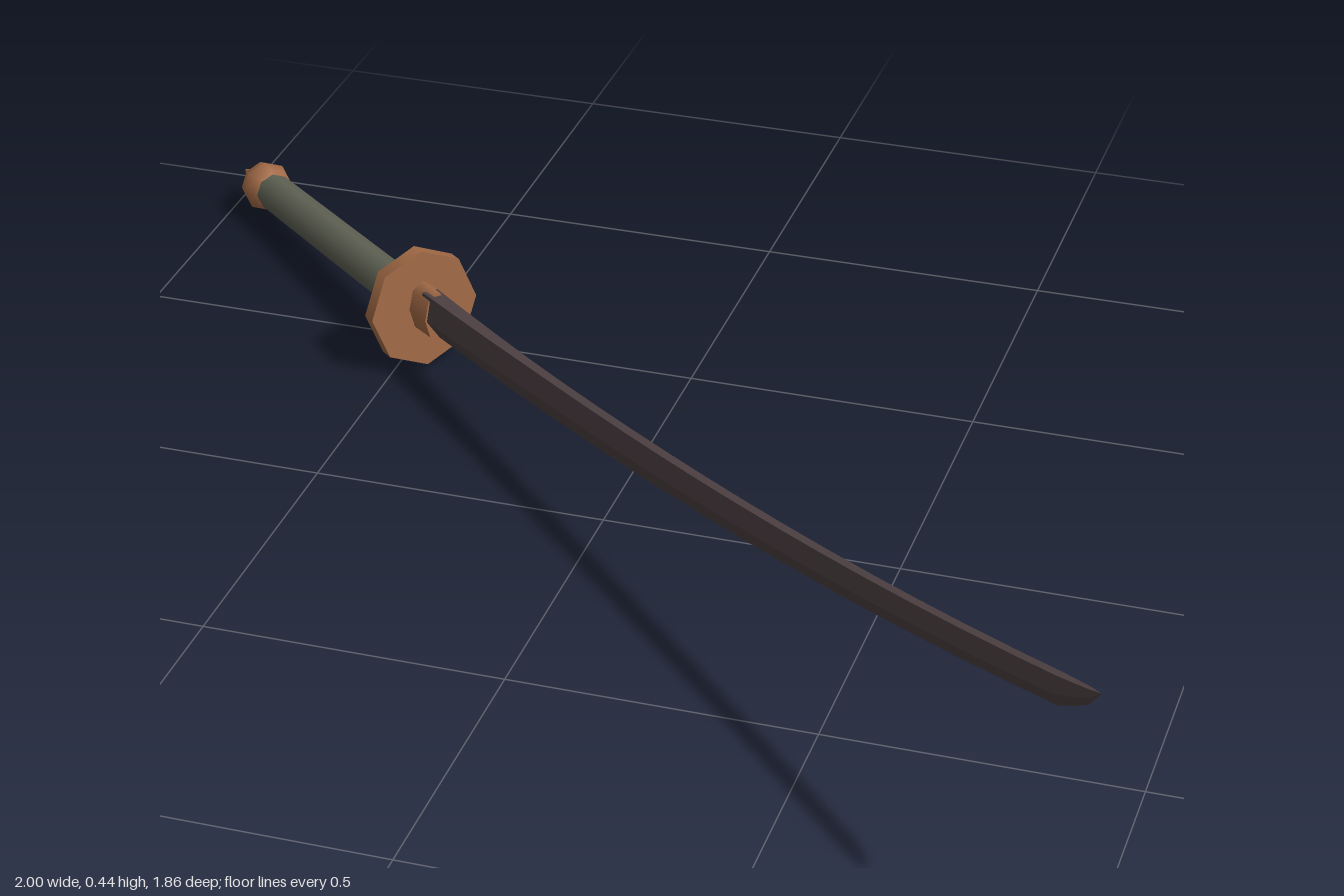
import * as THREE from 'three';

const mat = (name, color, flatShading) => {
  const m = new THREE.MeshStandardMaterial({ color, flatShading });
  m.name = name;
  return m;
};

// Curved blade: five-sided sections (flat spine, ridge, cutting edge) lofted to a point
function bladeGeometry(stretch) {
  const stations = [];
  for (let i = 0; i <= 16; i++) stations.push(-0.43 + (1.36 * i) / 16);
  stations.push(0.955, 0.98, 1);
  const rings = stations.map((x) => {
    const top = 0.213 + 0.155 * x + 0.063 * x * x + 0.012 * x ** 3;
    const bow = 0.014 * (1 - x * x);
    const point = x > 0.93 ? Math.sqrt(Math.max(0, (1 - x) / 0.07)) : 1;
    const h = (0.07 - 0.02 * x) * point;
    const base = Math.max(0, (-0.15 - x) / 0.28);
    const w = (0.0135 - 0.002 * x + 0.009 * base) * point;
    return [[top, 0.6 * w], [top - 0.55 * h, w], [top - h, 0], [top - 0.55 * h, -w], [top, -0.6 * w]]
      .map(([y, z]) => [x * stretch, y, z + bow]);
  });
  const pos = [];
  for (let i = 0; i < rings.length - 1; i++) {
    for (let j = 0; j < 5; j++) {
      const k = (j + 1) % 5;
      const [a, b, c, d] = [rings[i][j], rings[i][k], rings[i + 1][k], rings[i + 1][j]];
      pos.push(...a, ...b, ...c, ...a, ...c, ...d);
    }
  }
  const g = new THREE.BufferGeometry();
  g.setAttribute('position', new THREE.Float32BufferAttribute(pos, 3));
  g.computeVertexNormals();
  return g;
}

export function createModel() {
  const model = new THREE.Group();
  model.name = 'curvedSword';
  const copper = mat('copper', 0xa26a46, false);
  const wrap = mat('greyGreenWrap', 0x5f6254, false);
  const steel = mat('darkSteel', 0x4e4143, true);

  // The sword is built along x, then turned to lie on the diagonal
  const sword = new THREE.Group();
  sword.name = 'sword';
  sword.rotation.y = -Math.atan2(0.93, 1);
  model.add(sword);

  const add = (parent, name, geometry, material) => {
    const mesh = new THREE.Mesh(geometry, material);
    mesh.name = name;
    parent.add(mesh);
    return mesh;
  };
  const alongX = (g) => g.rotateZ(-Math.PI / 2);

  add(sword, 'blade', bladeGeometry(1.366), steel);

  // Hilt slopes down from the guard, which is its origin
  const hilt = new THREE.Group();
  hilt.name = 'hilt';
  hilt.position.set(-0.628, 0.109, 0.009);
  hilt.rotation.set(0, -0.0125, 0.077);
  sword.add(hilt);

  add(hilt, 'guard', alongX(new THREE.CylinderGeometry(0.107, 0.107, 0.028, 8)).scale(1, 1, 0.94), copper);

  const collar = add(hilt, 'bladeCollar', alongX(new THREE.CylinderGeometry(0.046, 0.048, 0.065, 8)).scale(1, 1, 0.6), copper);
  collar.position.set(0.04, 0.004, 0);

  const grip = add(hilt, 'grip', alongX(new THREE.CylinderGeometry(0.036, 0.034, 0.62, 8)), wrap);
  grip.position.x = -0.31;

  // Ball pommel with a slim spike
  const ball = add(hilt, 'pommelBall', new THREE.SphereGeometry(0.047, 8, 6).rotateZ(-Math.PI / 2), copper);
  ball.position.x = -0.64;
  const spike = add(hilt, 'pommelSpike', new THREE.ConeGeometry(0.026, 0.07, 8).rotateZ(Math.PI / 2), copper);
  spike.position.x = -0.704;

  return model;
}
